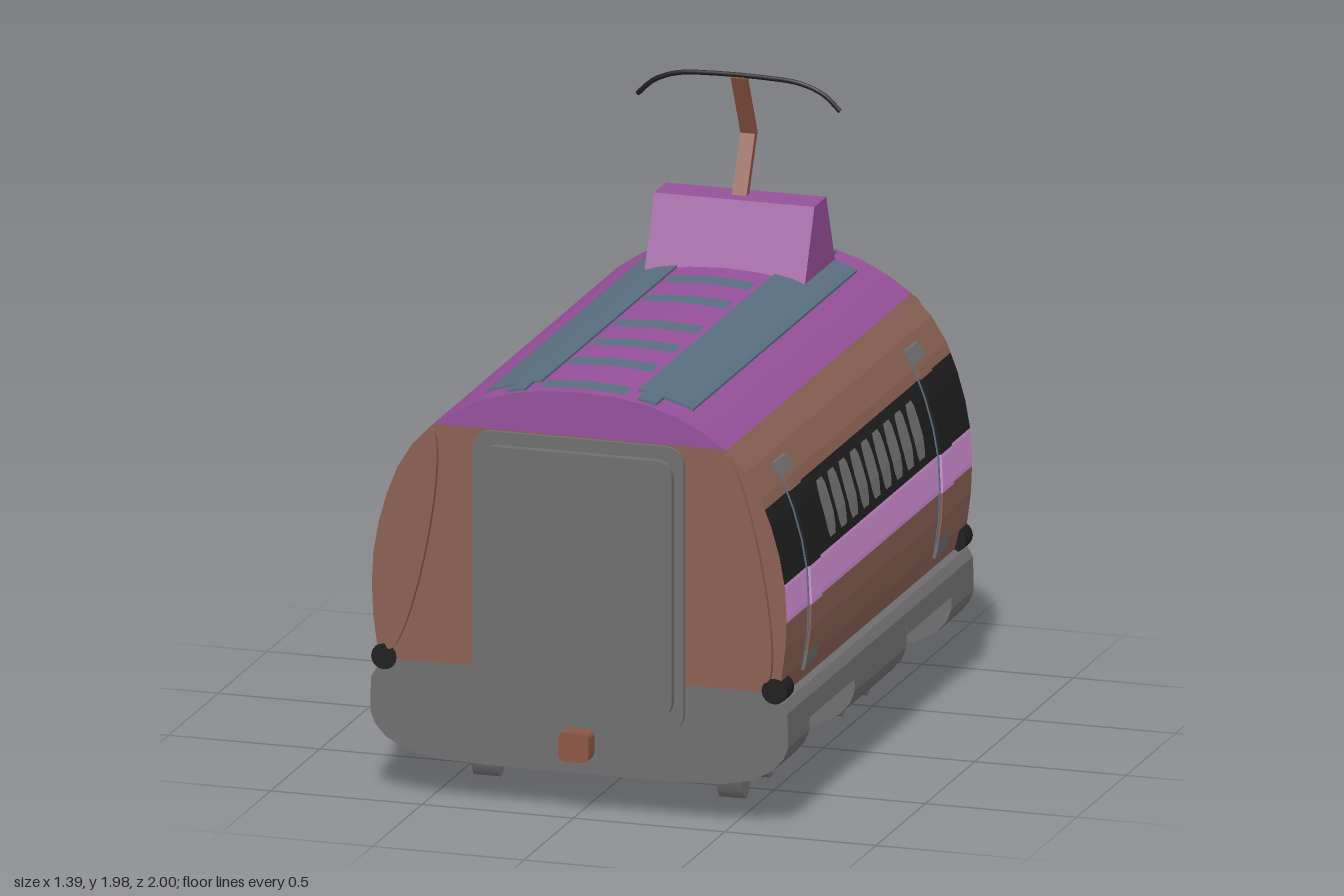
import * as THREE from 'three';

const paint = (name, color) => {
  const m = new THREE.MeshStandardMaterial({ color });
  m.name = name;
  return m;
};

// Half cross-section of the body, from roof ridge down to the sill
const PROFILE = [[0, 1.38], [0.12, 1.374], [0.22, 1.358], [0.32, 1.328], [0.41, 1.283], [0.485, 1.232],
  [0.55, 1.165], [0.6, 1.085], [0.635, 0.995], [0.662, 0.9], [0.68, 0.8], [0.685, 0.7], [0.681, 0.6], [0.668, 0.5], [0.65, 0.43]];
const END = 0.94;

// Part of the profile between two values of one axis (0 = x, 1 = y)
function slice(axis, a, b) {
  const at = (v) => {
    for (let i = 0; i < PROFILE.length - 1; i++) {
      const p = PROFILE[i], q = PROFILE[i + 1];
      const t = (v - p[axis]) / (q[axis] - p[axis]);
      if (t >= -1e-6 && t <= 1 + 1e-6) return [p[0] + (q[0] - p[0]) * t, p[1] + (q[1] - p[1]) * t];
    }
    return PROFILE[PROFILE.length - 1];
  };
  const s = Math.sign(b - a);
  const inner = PROFILE.filter((p) => (p[axis] - a) * s > 1e-4 && (b - p[axis]) * s > 1e-4);
  return [at(a), ...inner, at(b)];
}

const mirrored = (pts) => pts.map(([x, y]) => [-x, y]).reverse();
const toShape = (pts) => new THREE.Shape(pts.map(([x, y]) => new THREE.Vector2(x, y)));
const push = (pts, dx, dy) => pts.map(([x, y]) => [x + dx, y + dy]);

// Sheet following the points, with a half width along z for each point
function ribbon(pts, zc, half) {
  const v = [];
  for (let i = 0; i < pts.length - 1; i++) {
    const [p, q] = [pts[i], pts[i + 1]];
    const [h, k] = [half(i), half(i + 1)];
    const a = [...p, zc + h], b = [...q, zc + k], c = [...q, zc - k], d = [...p, zc - h];
    v.push(...a, ...b, ...c, ...a, ...c, ...d);
  }
  const g = new THREE.BufferGeometry();
  g.setAttribute('position', new THREE.Float32BufferAttribute(v, 3));
  g.computeVertexNormals();
  return g;
}

function prism(pts, z0, z1) {
  const g = new THREE.ExtrudeGeometry(Array.isArray(pts) ? toShape(pts) : pts, { depth: z1 - z0, bevelEnabled: false });
  return g.translate(0, 0, z0);
}

function roundRect(w, y0, y1, r) {
  const s = new THREE.Shape();
  s.moveTo(-w + r, y0).lineTo(w - r, y0).quadraticCurveTo(w, y0, w, y0 + r);
  s.lineTo(w, y1 - r).quadraticCurveTo(w, y1, w - r, y1);
  s.lineTo(-w + r, y1).quadraticCurveTo(-w, y1, -w, y1 - r);
  s.lineTo(-w, y0 + r).quadraticCurveTo(-w, y0, -w + r, y0);
  return s;
}

export function createModel() {
  const purple = paint('purple', 0x96509a), brown = paint('brown', 0x8a6052), grey = paint('grey', 0x6f6f6f);
  const black = paint('black', 0x1e1e1e), pink = paint('pink', 0xd490d6), slate = paint('slate', 0x5a6e80);
  const copper = paint('copper', 0x8c5643);
  const car = new THREE.Group();
  car.name = 'railCar';
  const add = (parent, name, geo, mat) => {
    const m = new THREE.Mesh(geo, mat);
    m.name = name;
    parent.add(m);
    return m;
  };

  // Both long sides: colour bands, windows, door straps, lamps
  const bands = [['upperPanel', 1.232, 1.05, brown], ['windowBand', 1.05, 0.81, black],
    ['stripe', 0.81, 0.685, pink], ['lowerPanel', 0.685, 0.43, brown]];
  for (const side of [0, 1]) {
    const wall = new THREE.Group();
    wall.name = side ? 'rightWall' : 'leftWall';
    wall.rotation.y = side * Math.PI;
    car.add(wall);
    for (const [name, a, b, mat] of bands) add(wall, name, ribbon(slice(1, a, b), 0, () => END), mat);
    const rows = [1.02, 1.0, 0.96, 0.9, 0.865, 0.84];
    const halves = [0.027, 0.037, 0.042, 0.042, 0.037, 0.027];
    const glass = push(rows.map((y) => slice(1, y, 0.8)[0]), 0.007, 0.002);
    for (let i = -4; i <= 4; i++) add(wall, 'window', ribbon(glass, i * 0.113, (k) => halves[k]), grey);
    for (const z of [-0.665, 0.665]) {
      const strap = (name, a, b, mat, t, w) => {
        const s = slice(1, a, b);
        add(wall, name, prism([...push(s, t, t * 0.3), ...push(s, -0.01, 0).reverse()], z - w, z + w), mat);
      };
      strap('strapTop', 1.14, 1.1, grey, 0.012, 0.058);
      strap('strapUpper', 1.1, 1.05, brown, 0.012, 0.055);
      strap('strapBlack', 1.05, 0.81, black, 0.012, 0.055);
      strap('strapPink', 0.81, 0.685, pink, 0.012, 0.055);
      strap('strapLower', 0.685, 0.53, brown, 0.012, 0.055);
      strap('strapBottom', 0.53, 0.47, grey, 0.012, 0.058);
      strap('strapEdge', 1.12, 0.5, slate, 0.004, 0.06);
    }
    for (const z of [-0.905, 0.905]) {
      add(wall, 'sideLamp', new THREE.CylinderGeometry(0.042, 0.042, 0.074, 16).rotateX(Math.PI / 2).translate(0.645, 0.46, z), black);
    }
  }

  // Roof with slate strips and vents
  const roof = slice(0, 0, 0.485);
  add(car, 'roof', ribbon([...mirrored(roof), ...roof.slice(1)], 0, () => END), purple);
  for (const s of [0, 1]) {
    for (const [a, b, z0, z1] of [[0.16, 0.34, -0.83, 0.83], [0.185, 0.245, 0.83, 0.915], [0.185, 0.245, -0.915, -0.83]]) {
      const top = slice(0, a, b);
      const plate = prism([...push(top, 0, 0.008), ...push(top, 0, -0.01).reverse()], z0, z1);
      add(car, 'roofStrip', plate, slate).rotation.y = s * Math.PI;
    }
  }
  const ventHalf = slice(0, 0, 0.14);
  const vent = push([...mirrored(ventHalf), ...ventHalf.slice(1)], 0, 0.006);
  for (const z of [-0.875, -0.38, -0.155, 0.145, 0.37, 0.595, 0.87]) add(car, 'roofVent', ribbon(vent, z, () => 0.043), slate);

  // Two matching ends
  for (const s of [0, 1]) {
    const end = new THREE.Group();
    end.name = s ? 'backEnd' : 'frontEnd';
    end.rotation.y = s * Math.PI;
    car.add(end);
    for (const [name, a, b, mat] of [['endArch', 1.38, 1.235, purple], ['endPanel', 1.235, 0.455, brown], ['endSill', 0.455, 0.43, grey]]) {
      const half = slice(1, a, b);
      const g = new THREE.ShapeGeometry(toShape([...half, ...mirrored(half)]));
      add(end, name, g.translate(0, 0, END), mat);
    }
    add(end, 'gangwayFrame', prism(roundRect(0.35, 0.3, 1.232, 0.07), 0.9, 0.955), grey);
    add(end, 'gangwayDoor', prism(roundRect(0.318, 0.35, 1.19, 0.06), 0.9, 0.98), grey);
    for (const x of [-1, 1]) {
      const lens = new THREE.Shape().absellipse(0, 0, 0.055, 0.372, 0, Math.PI * 2, false, 0);
      const g = new THREE.ExtrudeGeometry(lens, { depth: 0.06, bevelEnabled: false, curveSegments: 20 });
      add(end, 'cornerFairing', g.rotateZ(x * 0.19).translate(x * 0.553, 0.856, 0.9), brown);
    }
    add(end, 'coupler', prism(roundRect(0.05, 0.187, 0.283, 0.025), 0.9, s ? 0.98 : 1), copper);
    if (s) add(end, 'couplerPin', new THREE.CylinderGeometry(0.028, 0.028, 0.08, 16).rotateX(Math.PI / 2).translate(0, 0.235, 0.96), copper);
  }

  // Underframe: deep skirts with raised bays above the wheels
  const rim = [[0, 0.43], [0.65, 0.43], [0.67, 0.42], [0.688, 0.39]];
  const deep = [...rim, [0.69, 0.28], [0.675, 0.24], [0.64, 0.2], [0.57, 0.162], [0.47, 0.142], [0.3, 0.135]];
  const bay = [...rim, [0.69, 0.32], [0.6, 0.28], [0.3, 0.25]];
  const whole = (half) => [...half, ...mirrored(half.slice(1))];
  for (const [z0, z1, half] of [[0.72, END, deep], [0.265, 0.72, bay], [-0.26, 0.265, deep], [-0.715, -0.26, bay], [-END, -0.715, deep]]) {
    add(car, half === bay ? 'wheelBay' : 'skirt', prism(whole(half), z0, z1), grey);
  }

  // Bogies: centre block and narrow oval wheels
  for (const [a, b] of [[0.62, 0.37], [-0.36, -0.61]]) {
    add(car, 'bogieBlock', new THREE.BoxGeometry(0.64, 0.14, 0.25).translate(0, 0.207, (a + b) / 2), grey);
    for (const z of [a, b]) for (const x of [-1, 1]) {
      const disc = (r, w) => new THREE.CylinderGeometry(r, r, w, 28).rotateZ(Math.PI / 2);
      add(car, 'wheel', disc(0.185, 0.085).scale(1, 1, 0.33).translate(x * 0.405, 0.19, z), grey);
      add(car, 'hub', disc(0.08, 0.1).scale(1, 1, 0.42).translate(x * 0.405, 0.195, z), black);
    }
  }

  // Current collector on its tapered housing
  const collector = new THREE.Group();
  collector.name = 'currentCollector';
  car.add(collector);
  const housing = prism([[-0.857, 1.3], [-0.513, 1.3], [-0.63, 1.58], [-0.75, 1.58]], -0.265, 0.265);
  add(collector, 'housing', housing.rotateY(-Math.PI / 2), purple);
  const arm = (name, y0, z0, y1, z1) => {
    const g = new THREE.BoxGeometry(0.048, Math.hypot(y1 - y0, z1 - z0) + 0.015, 0.025);
    g.rotateX(Math.atan2(z1 - z0, y1 - y0)).translate(0, (y0 + y1) / 2, (z0 + z1) / 2);
    add(collector, name, g, copper);
  };
  arm('lowerArm', 1.57, -0.69, 1.76, -0.78);
  arm('upperArm', 1.76, -0.78, 1.965, -0.682);
  const bow = new THREE.CatmullRomCurve3([[-0.335, 1.885], [-0.28, 1.935], [-0.2, 1.965], [-0.1, 1.973], [0.1, 1.973],
    [0.2, 1.965], [0.28, 1.935], [0.335, 1.885]].map(([x, y]) => new THREE.Vector3(x, y, -0.677)));
  add(collector, 'bow', new THREE.TubeGeometry(bow, 32, 0.008, 8), black);
  return car;
}
